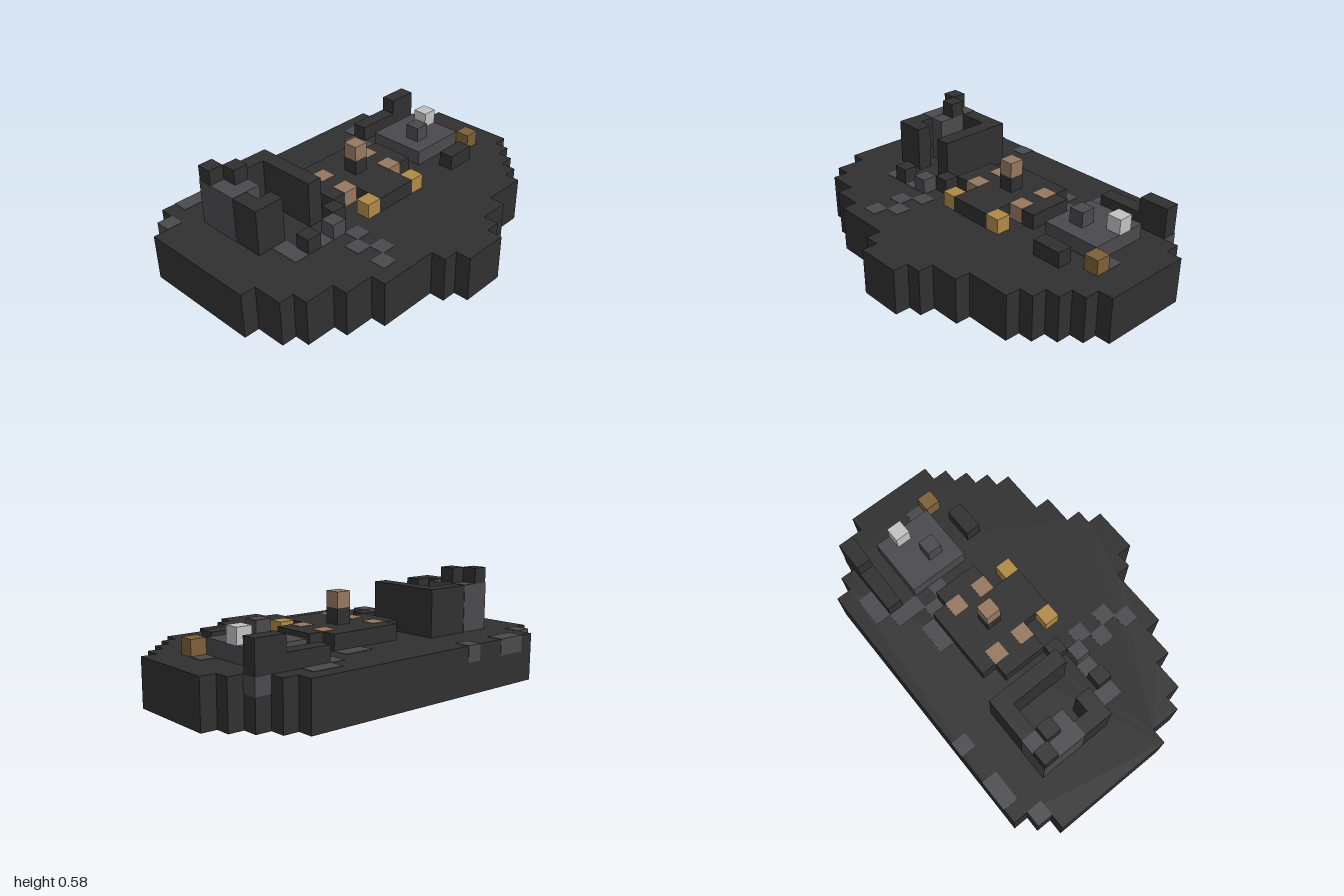
import * as THREE from 'three';

const U = 1 / 12; // one block

export function createModel() {
  const group = new THREE.Group();
  const mat = (name, color) => {
    const m = new THREE.MeshStandardMaterial({ color });
    m.name = name;
    return m;
  };
  const dark = mat('charcoal', 0x303030);
  const gray = mat('slate gray', 0x4a4a4e);
  const clay = mat('clay', 0x967860);
  const gold = mat('gold', 0xb08a45);
  const ochre = mat('ochre', 0x7d5f38);
  const pale = mat('pale stone', 0xc2c2c2);

  // Box spanning block columns i0..i1, rows j0..j1 and levels y0..y1; g swells it slightly
  const block = (name, m, i0, i1, j0, j1, y0, y1, g = 0) => {
    const geo = new THREE.BoxGeometry((i1 - i0) * U + 2 * g, (y1 - y0) * U + 2 * g, (j1 - j0) * U + 2 * g);
    const mesh = new THREE.Mesh(geo, m);
    mesh.position.set(((i0 + i1) / 2 - 12) * U, ((y0 + y1) / 2) * U, ((j0 + j1) / 2 - 8.5) * U);
    mesh.name = name;
    group.add(mesh);
  };
  const cube = (name, m, i, j, y, g = 0) => block(name, m, i, i + 1, j, j + 1, y, y + 1, g);

  // Stepped base: left and right end of every row, from back to front
  const rows = [[2, 20], [1, 21], [0, 22], [0, 23], [0, 24], [0, 24], [0, 24], [0, 24], [0, 24], [0, 24],
    [1, 23], [1, 22], [2, 21], [4, 20], [6, 17], [10, 15], [11, 14]];
  const outline = [];
  const corner = (i, j) => outline.push(new THREE.Vector2((i - 12) * U, (8.5 - j) * U));
  rows.forEach(([l], j) => { corner(l, j); corner(l, j + 1); });
  for (let j = rows.length - 1; j >= 0; j--) { corner(rows[j][1], j + 1); corner(rows[j][1], j); }
  const points = outline.filter((p, k) => {
    const a = outline[(k + outline.length - 1) % outline.length], b = outline[(k + 1) % outline.length];
    return Math.abs((p.x - a.x) * (b.y - p.y) - (p.y - a.y) * (b.x - p.x)) > 1e-9;
  });
  const baseGeo = new THREE.ExtrudeGeometry(new THREE.Shape(points), { depth: 3 * U, bevelEnabled: false });
  baseGeo.rotateX(-Math.PI / 2);
  const base = new THREE.Mesh(baseGeo, dark);
  base.name = 'base';
  group.add(base);

  // Gray patches in the top layer of the base
  const patches = [[1, 1], [3, 0], [4, 0], [7, 0], [4, 8], [4, 9], [6, 9], [8, 10], [7, 11], [8, 12], [7, 13],
    [13, 3], [14, 3], [15, 4], [16, 2], [16, 3], [16, 5], [17, 1], [18, 1], [21, 2], [21, 7]];
  patches.forEach(([i, j]) => cube('groundPatch', gray, i, j, 2, 0.002));

  // Ruined house: walls around a yard open to the front
  block('houseBackWall', dark, 3, 8, 3, 4, 3, 6);
  block('houseLeftWall', dark, 3, 4, 4, 8, 3, 6);
  block('houseRightWall', dark, 7, 8, 4, 8, 3, 6);
  block('houseFrontWall', dark, 4, 5, 7, 8, 3, 6);
  block('houseInnerPillar', gray, 4, 5, 4, 6, 3, 6);
  block('houseWallPatch', gray, 3, 4, 3, 6, 3, 6, 0.002);
  block('houseWallPatch', gray, 4, 5, 3, 4, 3, 6, 0.002);
  cube('chimney', dark, 3, 3, 6);
  cube('chimney', dark, 4, 4, 6);

  // Rubble in front of the house
  cube('rubble', dark, 5, 9, 3);
  cube('rubble', gray, 7, 9, 3);
  cube('rubble', dark, 8, 8, 3);

  // Central platform with clay corners, gold lamps and a post
  block('platformBack', dark, 10, 15, 4, 5, 3, 4);
  block('platform', dark, 9, 16, 5, 8, 3, 4);
  block('platformSteps', dark, 11, 14, 8, 10, 3, 4);
  for (const i of [10, 14]) {
    for (const j of [5, 7]) cube('clayTile', clay, i, j, 3, 0.002);
    cube('goldLamp', gold, i, 9, 3);
  }
  cube('post', dark, 12, 6, 4);
  cube('postHead', clay, 12, 6, 5);

  // Gray terrace with its blocks and walls
  block('terrace', gray, 17, 21, 4, 8, 3, 4);
  cube('terraceBlock', gray, 18, 6, 4);
  cube('paleBlock', pale, 20, 5, 4);
  cube('ochreBlock', ochre, 21, 8, 3);
  block('bench', dark, 18, 20, 9, 10, 3, 4);
  block('lowWall', dark, 17, 20, 2, 3, 3, 4);
  block('highWall', dark, 20, 22, 2, 3, 3, 5);

  return group;
}
